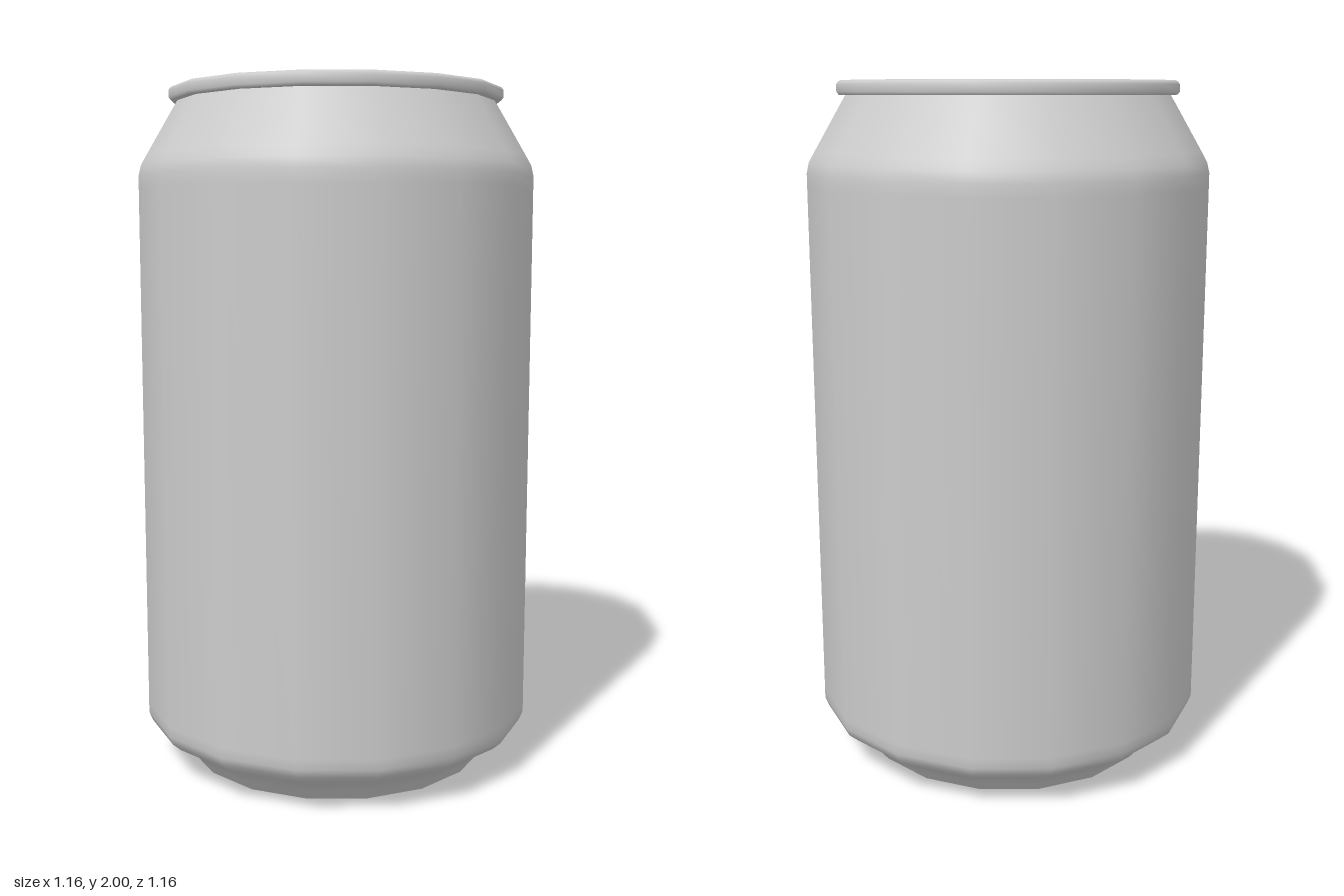
import * as THREE from 'three';

const SIDES = 16;

export function createModel() {
  const can = new THREE.Group();
  can.name = 'drinkCan';
  const material = new THREE.MeshStandardMaterial({ color: 0xcccccc });

  // Each part is a smooth 16-sided turned surface; creases fall between parts
  const turn = (name, profile) => {
    const points = profile.map(([r, y]) => new THREE.Vector2(r, y));
    const mesh = new THREE.Mesh(new THREE.LatheGeometry(points, SIDES), material);
    mesh.name = name;
    can.add(mesh);
  };

  // Domed underside, pressed up into the can
  turn('baseDome', [
    [0, 0.11], [0.14, 0.1], [0.27, 0.075], [0.37, 0.04], [0.41, 0.015], [0.43, 0],
  ]);

  // Narrow foot the can stands on
  turn('foot', [[0.43, 0], [0.44, 0]]);

  // Outer wall: curved base, straight side, rounded shoulder and tapered neck
  turn('body', [
    [0.44, 0], [0.465, 0.03], [0.487, 0.057], [0.545, 0.093], [0.57, 0.115], [0.58, 0.14],
    [0.58, 0.17], [0.58, 1.71], [0.58, 1.745], [0.573, 1.775], [0.556, 1.805],
    [0.48, 1.935], [0.465, 1.96],
  ]);

  // Rolled seam around the top
  turn('rim', [
    [0.465, 1.96], [0.484, 1.96], [0.49, 1.968], [0.49, 1.988], [0.485, 1.996],
    [0.477, 2], [0.469, 1.997], [0.464, 1.988],
  ]);

  // Inner wall of the seam
  turn('rimInnerWall', [[0.464, 1.988], [0.455, 1.957]]);

  // Sunken lid with a softly curved edge
  turn('lid', [[0.455, 1.957], [0.43, 1.948], [0.395, 1.941], [0.35, 1.94], [0, 1.94]]);

  return can;
}
